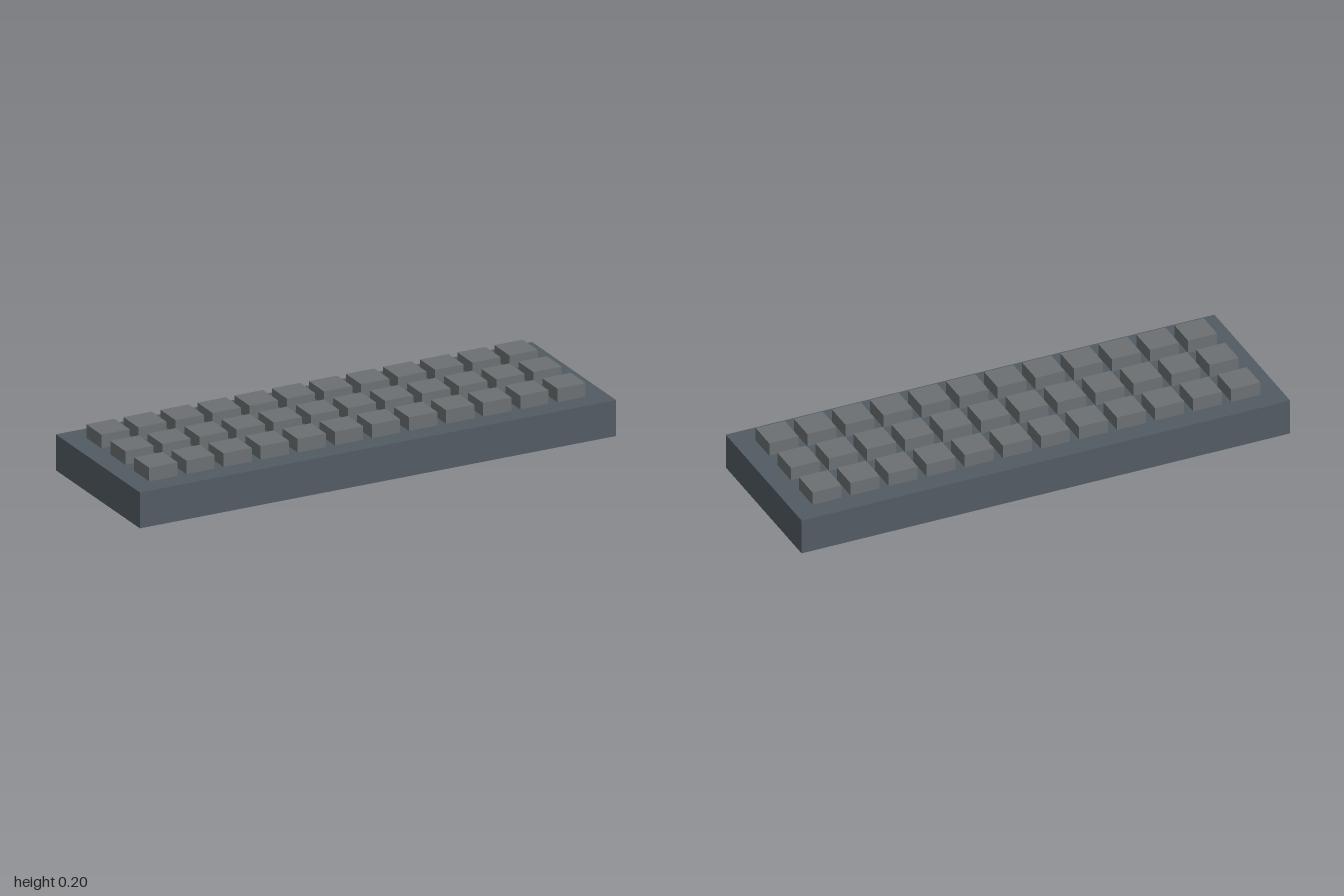
import * as THREE from 'three';

const COLUMNS = 12, ROWS = 3;
const BODY = { width: 2, height: 0.143, depth: 0.667 };
const KEY = { size: 0.119, bottom: 0.143, top: 0.197, pitchX: 0.1558, pitchZ: 0.19 };

export function createModel() {
  const model = new THREE.Group();
  model.name = 'keyboard';

  // Slab case
  const body = new THREE.Mesh(
    new THREE.BoxGeometry(BODY.width, BODY.height, BODY.depth),
    new THREE.MeshStandardMaterial({ color: 0x525b63 })
  );
  body.name = 'case';
  body.position.y = BODY.height / 2;
  model.add(body);

  // Grid of square keys
  const keys = new THREE.Group();
  keys.name = 'keys';
  const height = KEY.top - KEY.bottom;
  const keyGeometry = new THREE.BoxGeometry(KEY.size, height, KEY.size);
  const keyMaterial = new THREE.MeshStandardMaterial({ color: 0x6b7072 });
  for (let row = 0; row < ROWS; row++) {
    for (let column = 0; column < COLUMNS; column++) {
      const key = new THREE.Mesh(keyGeometry, keyMaterial);
      key.name = `key row ${row + 1} column ${column + 1}`;
      key.position.set(
        (column - (COLUMNS - 1) / 2) * KEY.pitchX,
        KEY.bottom + height / 2,
        (row - (ROWS - 1) / 2) * KEY.pitchZ
      );
      keys.add(key);
    }
  }
  model.add(keys);

  return model;
}
